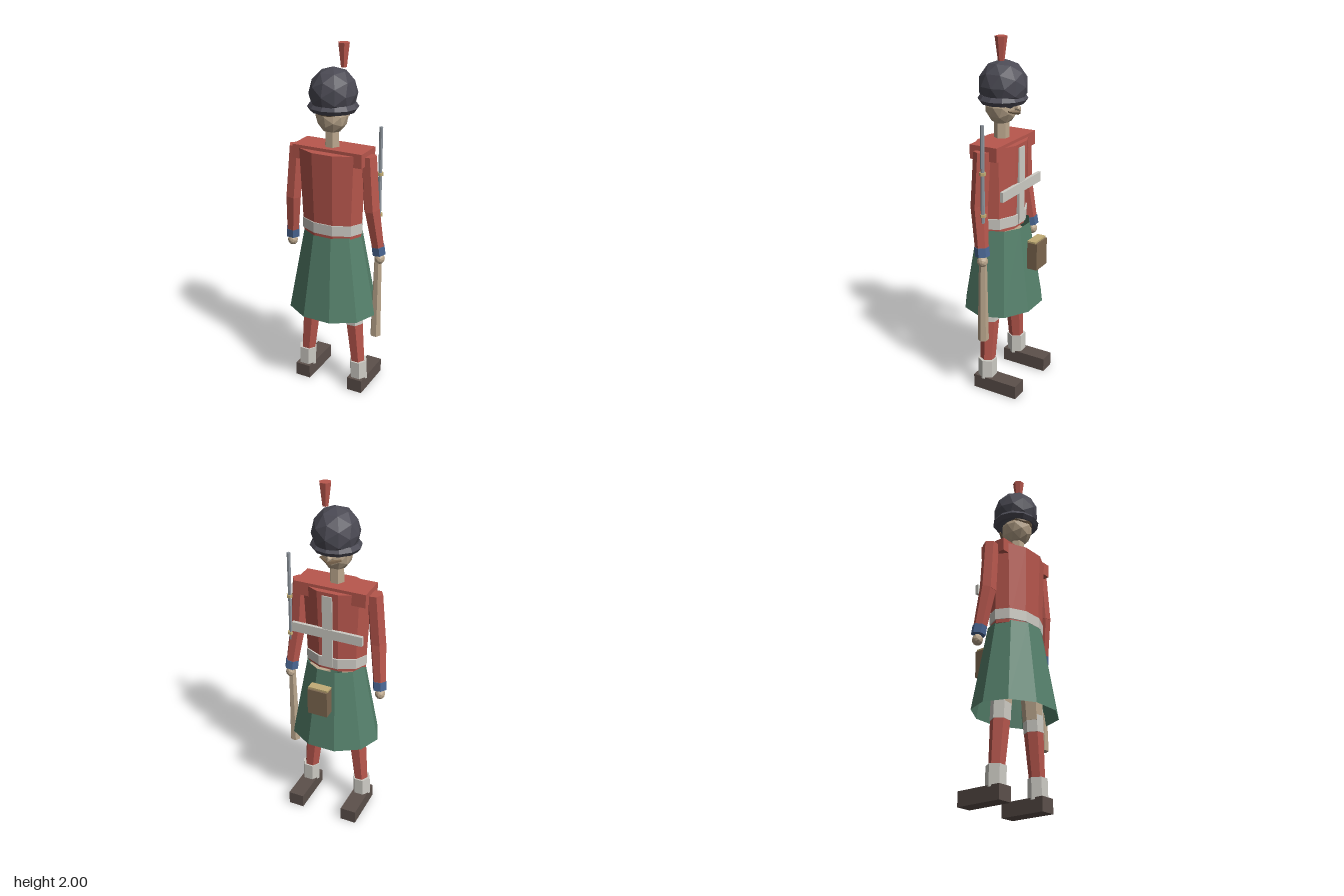
import * as THREE from 'three';

const mat = (name, color, extra = {}) => {
  const m = new THREE.MeshStandardMaterial({ color, flatShading: true, ...extra });
  m.name = name;
  return m;
};

export function createModel() {
  const root = new THREE.Group();
  root.name = 'toySoldier';
  const red = mat('coatRed', 0xb8574d);
  const green = mat('kiltGreen', 0x55806b, { side: THREE.DoubleSide });
  const black = mat('hatBlack', 0x4b4a54);
  const leather = mat('bootLeather', 0x5c504b);
  const white = mat('beltWhite', 0xcdcbc4);
  const tan = mat('skinTan', 0xbba78d);
  const blue = mat('cuffBlue', 0x4a6794);
  const brass = mat('brass', 0xc2ad76);
  const brown = mat('pouchBrown', 0x7d6850);
  const steel = mat('steel', 0x8f969e);

  const add = (name, geo, material, x = 0, y = 0, z = 0) => {
    const m = new THREE.Mesh(geo, material);
    m.name = name;
    m.position.set(x, y, z);
    root.add(m);
    return m;
  };
  const box = (name, material, x0, x1, y0, y1, z0, z1) =>
    add(name, new THREE.BoxGeometry(x1 - x0, y1 - y0, z1 - z0), material,
      (x0 + x1) / 2, (y0 + y1) / 2, (z0 + z1) / 2);
  // Tapered prism running from point a to point b
  const limb = (name, material, a, b, ra, rb, sides = 6) => {
    const p = new THREE.Vector3(...a), q = new THREE.Vector3(...b);
    const d = q.clone().sub(p);
    const m = add(name, new THREE.CylinderGeometry(rb, ra, d.length(), sides, 1, false, Math.PI / 2), material);
    m.position.copy(p).add(q).multiplyScalar(0.5);
    m.quaternion.setFromUnitVectors(new THREE.Vector3(0, 1, 0), d.normalize());
    return m;
  };
  // Upright ten-sided oval section
  const oval = (name, material, y0, y1, r0, r1, depth, z, open = false) => {
    const m = add(name, new THREE.CylinderGeometry(r1, r0, y1 - y0, 10, 1, open, Math.PI / 2),
      material, 0.004, (y0 + y1) / 2, z);
    m.scale.z = depth;
    return m;
  };
  const ball = (name, material, pos, size, detail = 1) => {
    const m = add(name, new THREE.IcosahedronGeometry(1, detail), material, ...pos);
    m.scale.set(...size);
    return m;
  };

  // Coat, belt and kilt
  oval('coat', red, 0.965, 1.44, 0.176, 0.2, 0.63, 0.03);
  box('shoulders', red, -0.2, 0.212, 1.38, 1.457, -0.06, 0.103);
  oval('waistBelt', white, 0.985, 1.045, 0.182, 0.184, 0.66, 0.028);
  oval('kilt', green, 0.497, 0.975, 0.263, 0.17, 0.82, 0.02, true);

  // Crossed straps
  box('chestStrap', white, -0.2, 0.213, 1.17, 1.225, -0.099, -0.08);
  box('verticalStrap', white, -0.024, 0.034, 0.99, 1.42, -0.095, -0.075);

  // Pouch
  box('pouch', brown, -0.052, 0.064, 0.75, 0.905, -0.222, -0.163);
  box('pouchLid', brass, -0.052, 0.064, 0.905, 0.915, -0.212, -0.163);

  // Head
  limb('neck', tan, [0.004, 1.43, 0.033], [0.004, 1.56, 0.033], 0.043, 0.04);
  ball('head', tan, [0.004, 1.63, 0.033], [0.088, 0.105, 0.09]);
  ball('nose', tan, [0.004, 1.625, -0.065], [0.016, 0.022, 0.022], 0);
  for (const s of [-1, 1]) {
    limb('moustache', brown, [0.004, 1.603, -0.068], [0.004 + s * 0.06, 1.615, -0.045], 0.014, 0.006, 5);
  }
  ball('hair', brown, [0.004, 1.652, 0.045], [0.083, 0.036, 0.086]);

  // Bearskin hat with plume
  ball('hat', black, [0.005, 1.74, 0.022], [0.128, 0.136, 0.135]);
  const brim = add('hatBrim', new THREE.TorusGeometry(0.114, 0.024, 5, 12), black, 0.005, 1.67, 0.024);
  brim.rotation.x = Math.PI / 2;
  brim.scale.y = 0.96;
  limb('plume', red, [0.056, 1.875, 0.004], [0.056, 2, 0.004], 0.017, 0.033);

  // Arms and legs, mirrored
  for (const s of [-1, 1]) {
    limb('upperArm', red, [s * 0.242, 1.13, 0.03], [s * 0.217, 1.43, 0.025], 0.046, 0.045);
    limb('forearm', red, [s * 0.268, 0.91, 0], [s * 0.242, 1.14, 0.03], 0.037, 0.046);
    limb('cuff', blue, [s * 0.272, 0.87, -0.006], [s * 0.268, 0.92, 0], 0.04, 0.04);
    ball('hand', tan, [s * 0.276, 0.84, -0.008], [0.029, 0.032, 0.03]);

    const x = 0.006;
    limb('thigh', tan, [x + s * 0.133, 0.49, 0.03], [x + s * 0.1, 0.9, 0.03], 0.055, 0.065);
    limb('kneeSock', white, [x + s * 0.139, 0.425, 0.03], [x + s * 0.131, 0.56, 0.03], 0.055, 0.056);
    limb('stocking', red, [x + s * 0.165, 0.16, 0.03], [x + s * 0.139, 0.43, 0.03], 0.042, 0.053);
    limb('spat', white, [x + s * 0.17, 0.07, 0.03], [x + s * 0.167, 0.185, 0.03], 0.054, 0.054);
    box('boot', leather, x + s * 0.171 - 0.046, x + s * 0.171 + 0.046, 0, 0.08, -0.18, 0.092);
  }

  // Musket
  limb('stock', tan, [0.265, 0.36, 0], [0.268, 0.87, -0.006], 0.031, 0.021);
  limb('barrel', steel, [0.268, 0.86, -0.008], [0.267, 1.585, -0.009], 0.011, 0.011);
  for (const y of [1.1, 1.33]) {
    limb('barrelBand', brass, [0.268, y - 0.008, -0.009], [0.268, y + 0.008, -0.009], 0.018, 0.018);
  }
  return root;
}
